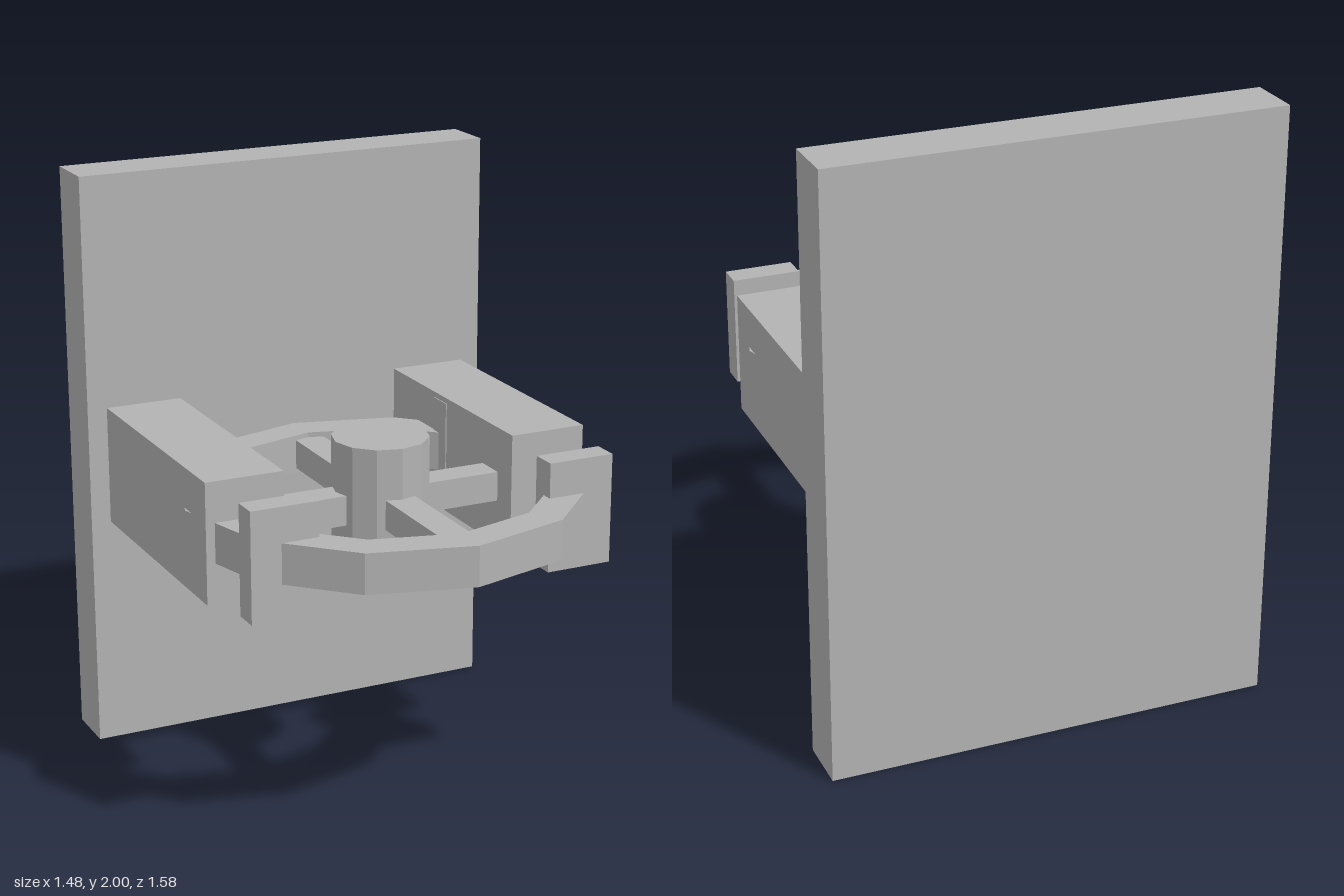
import * as THREE from 'three';

export function createModel() {
  const model = new THREE.Group();
  const grey = new THREE.MeshStandardMaterial({ color: 0xb3b3b3, flatShading: true });
  grey.name = 'plain grey';

  const wheelZ = 0.11;

  function add(geometry, name, x, y, z, parent = model) {
    const mesh = new THREE.Mesh(geometry, grey);
    mesh.name = name;
    mesh.position.set(x, y, z);
    parent.add(mesh);
    return mesh;
  }
  const box = (w, h, d) => new THREE.BoxGeometry(w, h, d);

  // Twelve-sided outline with a corner on each axis
  function outline(radius) {
    return Array.from({ length: 12 }, (_, i) => {
      const a = (i / 12) * Math.PI * 2;
      return new THREE.Vector2(Math.cos(a) * radius, Math.sin(a) * radius);
    });
  }

  // Upright mounting board at the back
  add(box(1.48, 2, 0.187), 'backBoard', 0, 1, -0.6985);

  // Flat wheel: rim, hub and crossed spokes
  const wheel = new THREE.Group();
  wheel.name = 'wheel';
  wheel.position.set(0, 1.003, wheelZ);
  model.add(wheel);

  const rimShape = new THREE.Shape(outline(0.68));
  rimShape.holes.push(new THREE.Path(outline(0.56)));
  const rim = new THREE.ExtrudeGeometry(rimShape, { depth: 0.134, bevelEnabled: false });
  rim.translate(0, 0, -0.067).rotateX(-Math.PI / 2);
  add(rim, 'rim', 0, 0, 0, wheel);

  add(new THREE.CylinderGeometry(0.16, 0.16, 0.44, 12), 'hub', 0, 0, 0, wheel);
  add(box(1.14, 0.1, 0.104), 'crossSpoke', 0, 0, 0, wheel);
  add(box(0.104, 0.1, 1.14), 'longSpoke', 0, 0, 0, wheel);

  // Support arms and the clips gripping the rim, mirrored on both sides
  for (const side of [-1, 1]) {
    const label = side > 0 ? 'left' : 'right';
    add(box(0.265, 0.405, 0.86), label + 'Arm', side * 0.539, 1.003, -0.175);
    for (const end of [-1, 1]) {
      add(box(0.228, 0.368, 0.088), label + (end > 0 ? 'FrontClip' : 'BackClip'),
        side * 0.517, 1.003, wheelZ + end * 0.356);
    }
  }

  return model;
}
